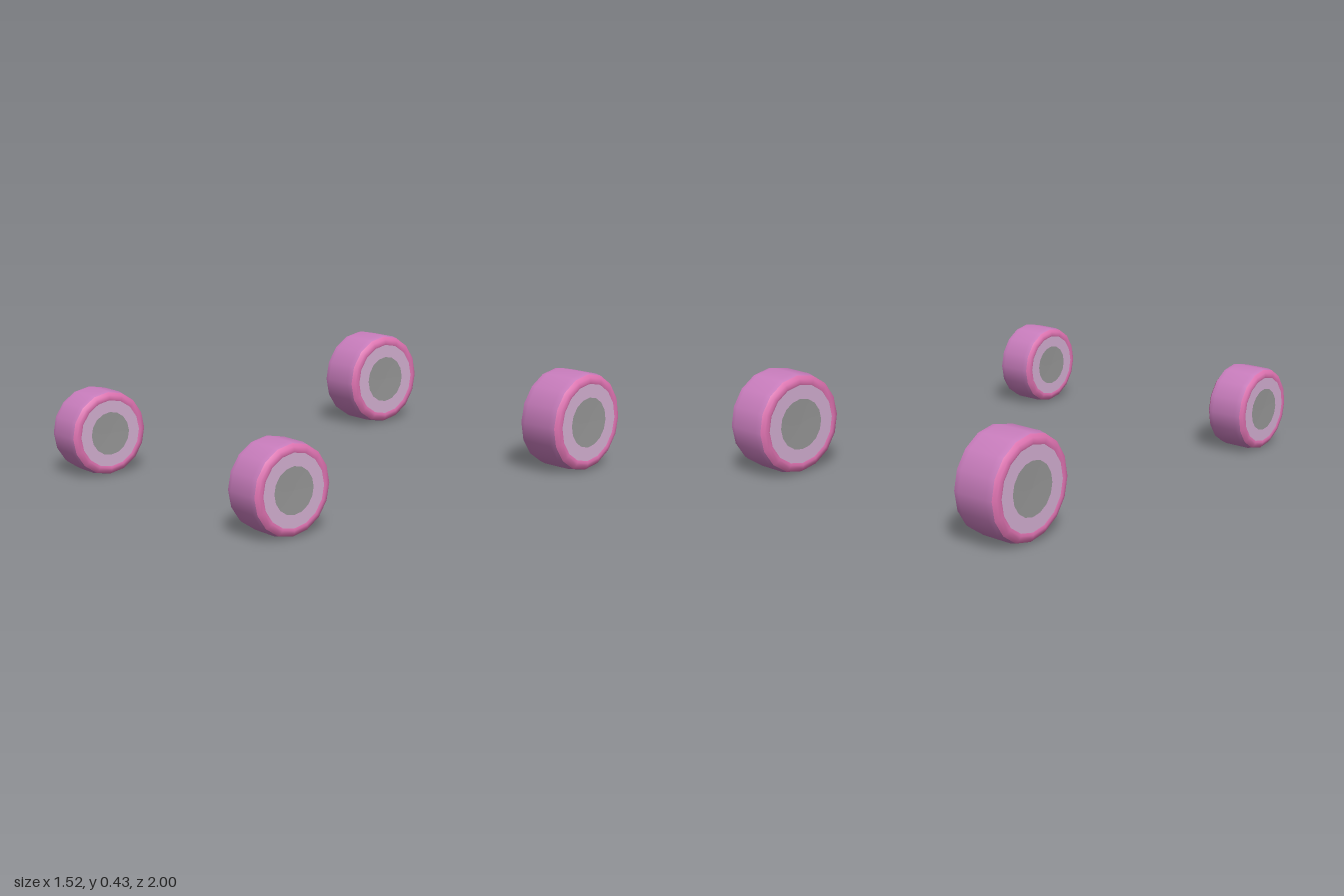
import * as THREE from 'three';

const SIDES = 16;
const material = (name, color) => {
  const m = new THREE.MeshStandardMaterial({ color });
  m.name = name;
  return m;
};

export function createModel() {
  const treadPink = material('tread orchid', 0xc97dbd);
  const shoulderPink = material('shoulder pink', 0xdd72b0);
  const discLilac = material('disc lilac', 0xd2aed0);
  const hubGrey = material('hub grey', 0x969696);

  // Lathed ring with its axis along x; profile pairs are [radius, axial position]
  const ring = (name, profile, mat) => {
    const points = profile.map(([r, a]) => new THREE.Vector2(r, a));
    const geometry = new THREE.LatheGeometry(points, SIDES);
    geometry.rotateZ(-Math.PI / 2);
    const mesh = new THREE.Mesh(geometry, mat);
    mesh.name = name;
    return mesh;
  };

  // Wheel of radius R and half width h, the same on both faces
  const makeWheel = (name, R, h) => {
    const wheel = new THREE.Group();
    wheel.name = name;
    wheel.add(ring('tread', [
      [R * 0.975, -h * 0.86], [R, -h * 0.62], [R, h * 0.62], [R * 0.975, h * 0.86],
    ], treadPink));

    const face = new THREE.Group();
    face.name = 'outerFace';
    // Rounded shoulder, turning in to a shallow lip around the disc
    face.add(ring('shoulder', [
      [R * 0.975, h * 0.86], [R * 0.91, h * 0.97], [R * 0.84, h], [R * 0.79, h * 0.97],
    ], shoulderPink));
    face.add(ring('disc', [[R * 0.79, h * 0.97], [R * 0.51, h * 0.97]], discLilac));
    face.add(ring('hub', [[R * 0.51, h * 0.97], [0, h * 0.95]], hubGrey));

    const back = face.clone();
    back.name = 'innerFace';
    back.rotation.y = Math.PI;
    wheel.add(face, back);
    return wheel;
  };

  const model = new THREE.Group();
  model.name = 'wheelSet';
  for (const side of [-1, 1]) {
    const label = side > 0 ? 'Left' : 'Right';
    const front = makeWheel('front' + label + 'Wheel', 0.183, 0.092);
    front.position.set(side * 0.622, 0.183, 0.817);
    const rear = makeWheel('rear' + label + 'Wheel', 0.216, 0.109);
    rear.position.set(side * 0.651, 0.216, -0.784);
    model.add(front, rear);
  }
  return model;
}
